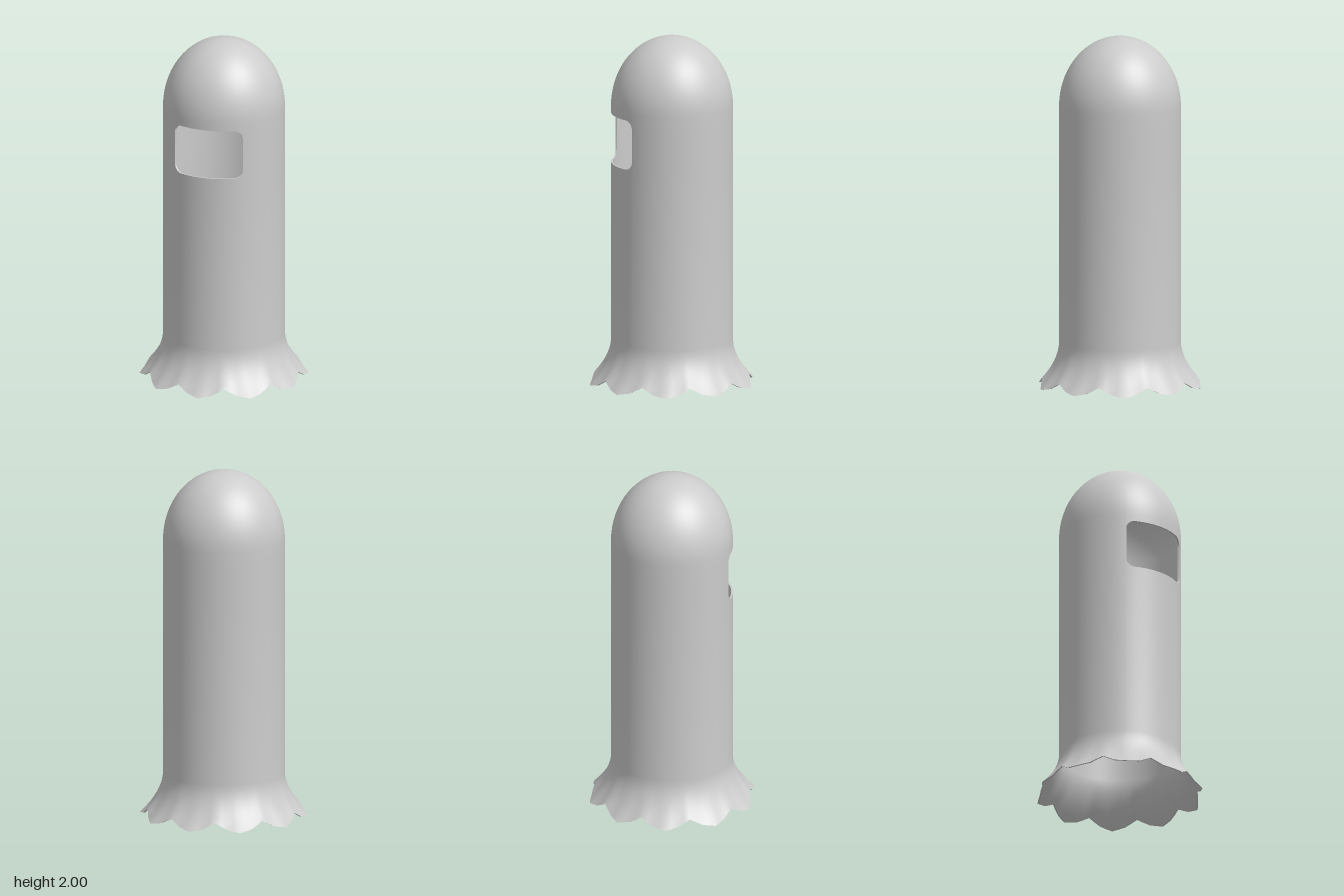
import * as THREE from 'three';
import { toCreasedNormals } from 'three/addons/utils/BufferGeometryUtils.js';

const R = 0.345;          // tube radius
const T = 0.01;           // shell thickness
const FLARE = 0.25;       // height where the flared hem starts
const SHOULDER = 1.6;     // height where the dome starts
const LOBES = 10;
const STEP = Math.PI / 40;

// Face opening: a rounded rectangle wrapped on the tube
const win = { half: 0.2, lo: 1.275, hi: 1.56, r: 0.045 };
const edge = Math.asin(win.half / R);
const { lerp } = THREE.MathUtils;

// Scalloped hem: radius and height run through points at lobe tip, middle and notch
function hem(theta) {
  const lobe = (2 * Math.PI) / LOBES;
  const d = Math.abs(theta / lobe - Math.round(theta / lobe)) * 4;
  const at = (a, b, c) => (d < 1 ? lerp(a, b, d) : lerp(b, c, d - 1));
  return { r: at(0.478, 0.456, 0.44), y: at(0, 0.014, 0.05) };
}

// Flared skirt profile, hem to tube
function skirt(theta) {
  const h = hem(theta), pts = [];
  for (let i = 0; i <= 8; i++) {
    const f = i / 8;
    pts.push([lerp(h.r, R, 1 - (1 - f) ** 1.9), lerp(h.y, FLARE, f)]);
  }
  return pts;
}

// Dome profile, shoulder to crown
function dome() {
  const pts = [];
  for (let i = 0; i <= 18; i++) {
    const a = (i / 18) * Math.PI / 2;
    pts.push([i === 18 ? 0 : R * Math.cos(a), SHOULDER + (2 - SHOULDER) * Math.sin(a)]);
  }
  return pts;
}

// Distance the opening's rounded corner takes off its height at this angle
function cornerInset(theta) {
  const over = Math.abs(R * Math.sin(theta)) - (win.half - win.r);
  return over <= 0 ? 0 : win.r - Math.sqrt(Math.max(0, win.r ** 2 - over ** 2));
}

// Closed wall section: up the outside, back down the inside
function wall(pts) {
  const inner = pts.map(([r, y]) => [Math.max(0, r - T), y > SHOULDER ? y - T * (y - SHOULDER) / (2 - SHOULDER) : y]);
  return [...pts, ...inner.reverse()];
}

const point = (theta, [r, y]) => new THREE.Vector3(r * Math.sin(theta), y, r * Math.cos(theta));

function quad(out, a, b, c, d) {
  for (const tri of [[a, b, c], [a, c, d]]) {
    if (new THREE.Triangle(...tri).getArea() > 1e-9) tri.forEach((p) => out.push(p.x, p.y, p.z));
  }
}

// Sweep a section that varies with the angle
function sweep(out, angles, section) {
  for (let i = 0; i < angles.length - 1; i++) {
    const [t0, t1] = [angles[i], angles[i + 1]];
    const [s0, s1] = [wall(section(t0)), wall(section(t1))];
    for (let j = 0; j < s0.length; j++) {
      const k = (j + 1) % s0.length;
      quad(out, point(t0, s0[j]), point(t1, s1[j]), point(t1, s1[k]), point(t0, s0[k]));
    }
  }
}

export function createModel() {
  const out = [];

  // Angles beside and across the opening
  const around = [edge];
  for (let i = 1; i < 80; i++) {
    const t = i * STEP;
    if (t > edge + 0.005 && t < 2 * Math.PI - edge - 0.005) around.push(t);
  }
  around.push(2 * Math.PI - edge);

  const across = [];
  for (let i = 0; i <= 6; i++) {
    const a = (i / 6) * Math.PI / 2;
    const t = Math.asin((win.half - win.r * (1 - Math.cos(a))) / R);
    across.push(t, -t);
  }
  for (let i = -5; i <= 5; i++) across.push(i * STEP);
  across.sort((a, b) => a - b);

  // Full-height wall around the sides and back
  sweep(out, around, (t) => [...skirt(t), [R, win.lo + win.r], [R, win.hi - win.r], ...dome()]);
  // Front wall below and above the opening
  sweep(out, across, (t) => [...skirt(t), [R, win.lo + cornerInset(t)]]);
  sweep(out, across, (t) => [[R, win.hi - cornerInset(t)], ...dome()]);

  // Upright edges of the opening
  for (const s of [1, -1]) {
    const [lo, hi] = [win.lo + win.r, win.hi - win.r];
    const c = [[R, lo], [R, hi], [R - T, hi], [R - T, lo]].map((p) => point(s * edge, p));
    quad(out, ...(s > 0 ? c : c.reverse()));
  }

  let geometry = new THREE.BufferGeometry();
  geometry.setAttribute('position', new THREE.Float32BufferAttribute(out, 3));
  geometry = toCreasedNormals(geometry, 0.7);

  const shell = new THREE.Mesh(geometry, new THREE.MeshStandardMaterial({ color: 0xcccccc, side: THREE.DoubleSide }));
  shell.name = 'hoodedShell';

  const group = new THREE.Group();
  group.name = 'hoodedCover';
  group.add(shell);
  return group;
}
